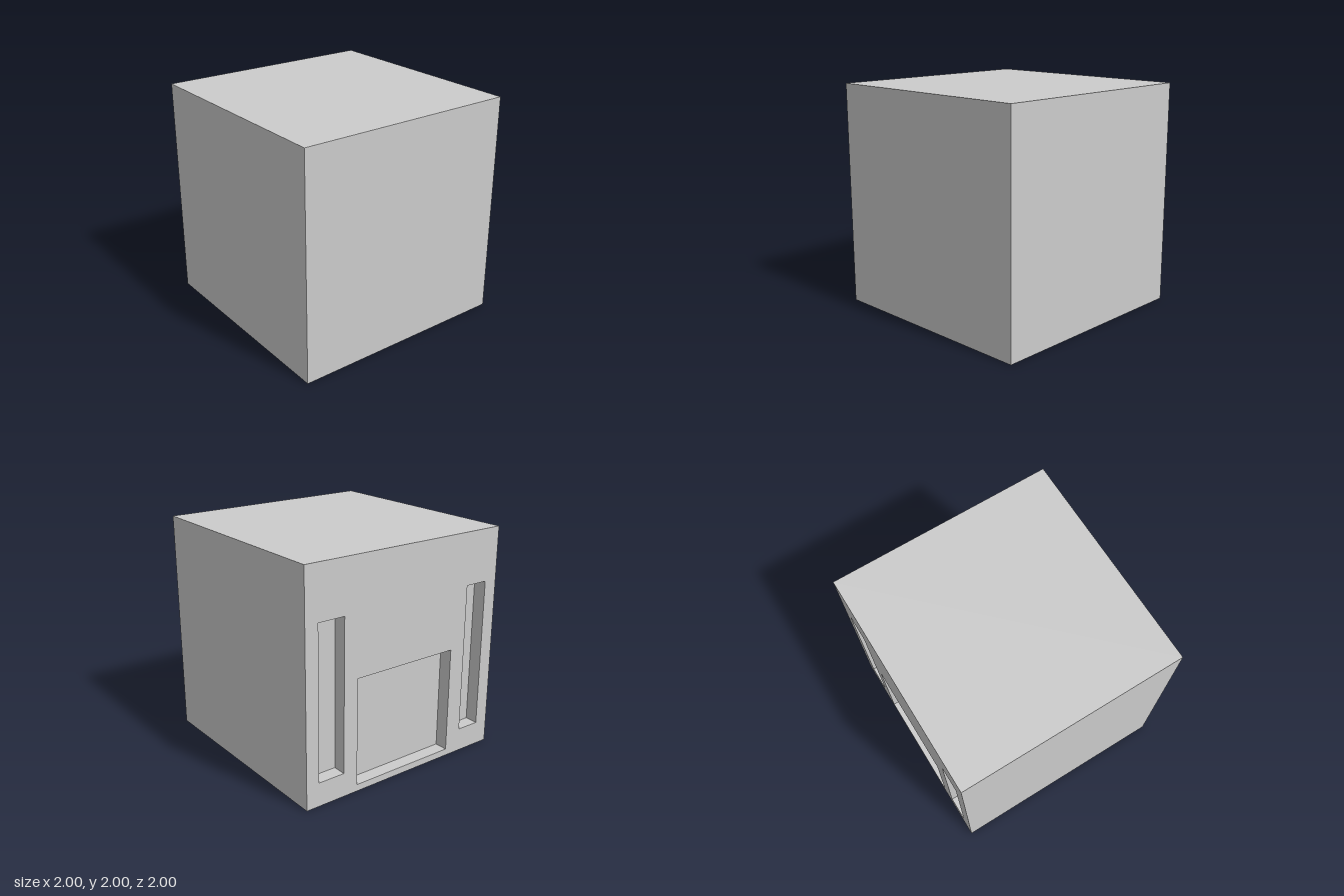
import * as THREE from 'three';

const DEPTH = 0.12;

// Recesses in the back wall: x from / to, y from / to
const RECESSES = [
  { name: 'leftSlot', x0: 0.635, x1: 0.88, y0: 0.21, y1: 1.54 },
  { name: 'rightSlot', x0: -0.875, x1: -0.66, y0: 0.21, y1: 1.54 },
  { name: 'doorRecess', x0: -0.505, x1: 0.5, y0: 0.06, y1: 1.0 },
];

// Box without its back (-z) face, which is the last group of six indices
function openBackBox(w, h, d) {
  const geo = new THREE.BoxGeometry(w, h, d);
  geo.setIndex(Array.from(geo.index.array).slice(0, 30));
  geo.clearGroups();
  return geo;
}

// Turn a geometry inside out
function invert(geo) {
  geo.setIndex(Array.from(geo.index.array).reverse());
  const n = geo.attributes.normal.array;
  for (let i = 0; i < n.length; i++) n[i] = -n[i];
  return geo;
}

function rectangle(PathType, x0, x1, y0, y1) {
  return new PathType([[x0, y0], [x1, y0], [x1, y1], [x0, y1]].map(([x, y]) => new THREE.Vector2(x, y)));
}

export function createModel() {
  const model = new THREE.Group();
  model.name = 'recessedCube';
  const material = new THREE.MeshStandardMaterial({ color: 0xcccccc });

  const add = (name, geo, x, y, z) => {
    const mesh = new THREE.Mesh(geo, material);
    mesh.name = name;
    mesh.position.set(x, y, z);
    model.add(mesh);
    return mesh;
  };

  // Front, sides, top and bottom
  add('cubeBody', openBackBox(2, 2, 2), 0, 1, 0);

  // Back wall with an opening for each recess (x mirrored, as it is turned around)
  const wall = rectangle(THREE.Shape, -1, 1, 0, 2);
  for (const r of RECESSES) wall.holes.push(rectangle(THREE.Path, -r.x1, -r.x0, r.y0, r.y1));
  add('backWall', new THREE.ShapeGeometry(wall), 0, 0, -1).rotation.y = Math.PI;

  // Inner walls and floor of each recess
  for (const { name, x0, x1, y0, y1 } of RECESSES) {
    const liner = invert(openBackBox(x1 - x0, y1 - y0, DEPTH));
    add(name, liner, (x0 + x1) / 2, (y0 + y1) / 2, -1 + DEPTH / 2);
  }

  return model;
}
